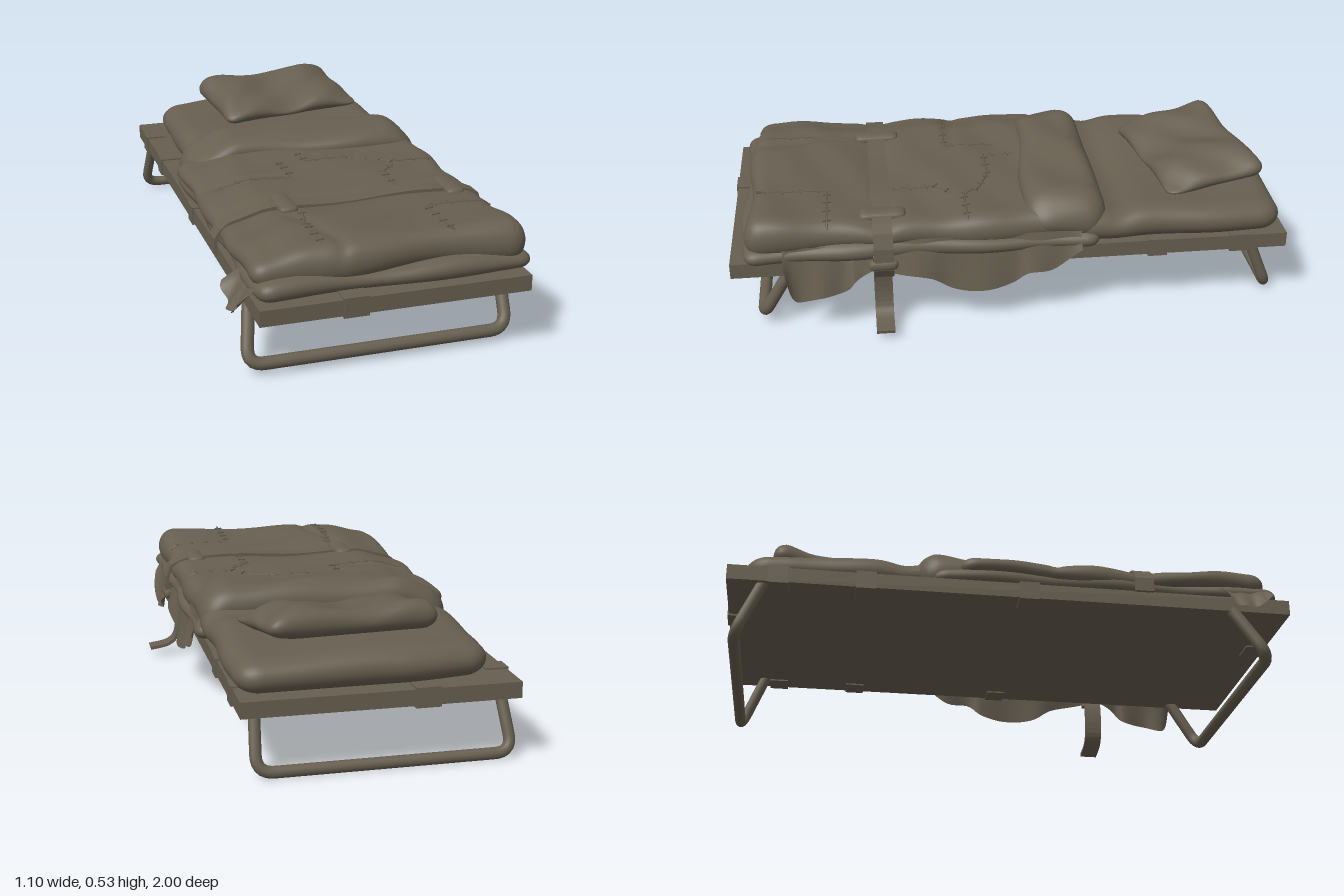
import * as THREE from 'three';
import { mergeVertices } from 'three/addons/utils/BufferGeometryUtils.js';

const canvas = new THREE.MeshStandardMaterial({ color: 0x675f50, side: THREE.DoubleSide });
canvas.name = 'drab canvas';

const V = (x, y, z) => new THREE.Vector3(x, y, z);
const smooth = THREE.MathUtils.smoothstep;
const bell = (v, c, w) => Math.exp(-(((v - c) / w) ** 2));

function add(group, name, geometry) {
  const mesh = new THREE.Mesh(geometry, canvas);
  mesh.name = name;
  group.add(mesh);
  return mesh;
}

// Stuffed slab with round edges between two corners, then bent by warp(p, up), up = 0 (bottom) to 1 (top)
function soft([x0, y0, z0], [x1, y1, z1], R, warp) {
  const w = x1 - x0, h = y1 - y0, d = z1 - z0, ry = h / 2;
  let g = new THREE.BoxGeometry(w, h, d, Math.ceil(w / 0.018), 8, Math.ceil(d / 0.018));
  g.deleteAttribute('uv');
  g.deleteAttribute('normal');
  g = mergeVertices(g);
  const pos = g.attributes.position, p = V(0, 0, 0);
  for (let i = 0; i < pos.count; i++) {
    p.fromBufferAttribute(pos, i);
    const ix = THREE.MathUtils.clamp(p.x, R - w / 2, w / 2 - R);
    const iz = THREE.MathUtils.clamp(p.z, R - d / 2, d / 2 - R);
    const q = V((p.x - ix) / R, p.y / ry, (p.z - iz) / R).normalize();
    p.set(ix + q.x * R + (x0 + x1) / 2, q.y * ry + (y0 + y1) / 2, iz + q.z * R + (z0 + z1) / 2);
    if (warp) warp(p, (q.y + 1) / 2);
    pos.setXYZ(i, p.x, p.y, p.z);
  }
  g.computeVertexNormals();
  return g;
}

// Height of the blanket's folds and of its finished upper surface
const BL = { x0: -0.495, x1: 0.445, y0: 0.3, y1: 0.41, z0: -0.2, z1: 0.93, R: 0.06 };
const folds = (x, z) => 0.02 * smooth(z, 0.5, 0.85) - 0.03 * smooth(-x, 0.3, 0.46)
  - 0.012 * bell(z, 0.46, 0.05) - 0.008 * bell(z, 0.2 + 0.1 * x, 0.02) * smooth(-x, 0.1, 0.2)
  + 0.005 * Math.sin(9 * x + 5 * z) * Math.sin(11 * z - 4 * x) + 0.003 * Math.sin(26 * z + 12 * x)
  - 0.01 * bell(x, -0.23 + 0.04 * Math.sin(9 * z), 0.02) * smooth(z, 0.52, 0.6);
function blanketTop(x, z) {
  const q = Math.max(0, BL.x0 + BL.R - x, x - BL.x1 + BL.R) / BL.R;
  return 0.355 + 0.055 * Math.sqrt(Math.max(0, 1 - q * q)) + folds(x, z);
}

// Flat band following points in the xy plane, of given width along z
function band(points, width, z, thick = 0.012) {
  const side = s => points.map((p, i) => {
    const a = points[Math.max(0, i - 1)], b = points[Math.min(points.length - 1, i + 1)];
    const t = new THREE.Vector2(b[0] - a[0], b[1] - a[1]).normalize();
    return new THREE.Vector2(p[0] - t.y * s * thick / 2, p[1] + t.x * s * thick / 2);
  });
  const shape = new THREE.Shape([...side(1), ...side(-1).reverse()]);
  return new THREE.ExtrudeGeometry(shape, { depth: width, bevelEnabled: false }).translate(0, 0, z - width / 2);
}

// Tube leg in the form of a U with round corners
function leg([xl, xr], [yTop, zTop], [xbl, xbr], [y, z], r) {
  const tl = V(xl, yTop, zTop), bl = V(xbl, y, z), br = V(xbr, y, z), tr = V(xr, yTop, zTop);
  const path = new THREE.CurvePath(), c = 0.06;
  const near = (a, b) => a.clone().add(b.clone().sub(a).setLength(c));
  const a = near(bl, tl), b = near(bl, br), d = near(br, bl), e = near(br, tr);
  path.add(new THREE.LineCurve3(tl, a));
  path.add(new THREE.QuadraticBezierCurve3(a, bl, b));
  path.add(new THREE.LineCurve3(b, d));
  path.add(new THREE.QuadraticBezierCurve3(d, br, e));
  path.add(new THREE.LineCurve3(e, tr));
  return new THREE.TubeGeometry(path, 90, r, 12);
}

// Hanging cloth: hem is a list of [z, y]; side is the x of the fall, flare the outward swing
function drape(hem, top, x, flare) {
  const curve = new THREE.CatmullRomCurve3(hem.map(([z, y]) => V(0, y, z)), false, 'centripetal');
  const g = new THREE.PlaneGeometry(1, 1, 40, 8), pos = g.attributes.position;
  for (let i = 0; i < pos.count; i++) {
    const u = pos.getX(i) + 0.5, v = 0.5 - pos.getY(i), h = curve.getPoint(u);
    pos.setXYZ(i, x + flare * v + 0.008 * v * Math.sin(u * 19), top + (h.y - top) * v, h.z);
  }
  g.computeVertexNormals();
  return g;
}

export function createModel() {
  const model = new THREE.Group();
  model.name = 'campBed';

  // Bed frame and its legs
  add(model, 'bedDeck', new THREE.BoxGeometry(0.92, 0.055, 1.99)).position.set(-0.03, 0.25, 0);
  add(model, 'frontLeg', leg([-0.47, 0.405], [0.235, 0.785], [-0.507, 0.395], [0.045, 0.895], 0.022));
  add(model, 'backLeg', leg([-0.455, 0.365], [0.235, -0.87], [-0.48, 0.375], [0.024, -0.955], 0.02));

  // Cloth ties around the deck
  for (const s of [-1, 1]) {
    add(model, 'endTie', new THREE.BoxGeometry(0.085, 0.068, 0.08)).position.set(-0.175, 0.25, s * 0.96);
    for (const z of [-0.82, -0.52, 0.05])
      add(model, 'sideTie', new THREE.BoxGeometry(0.08, 0.066, 0.07)).position.set(-0.03 + s * 0.426, 0.25, z);
  }

  // Mattress: thick at the head, flat below the blanket
  add(model, 'headMattress', soft([-0.42, 0.275, -0.975], [0.44, 0.395, -0.2], 0.08, (p, up) => {
    p.y += up * (0.008 * Math.sin(8 * p.x + 5 * p.z) - 0.02 * bell(p.z, -0.38, 0.06));
    p.z += 0.035 * smooth(-p.x, 0.1, 0.42) * smooth(-p.z, 0.6, 0.95);
    p.x += 0.02 * smooth(-p.z, 0.75, 0.95) * smooth(-p.x, 0.2, 0.4) + 0.005 * Math.sin(15 * p.z);
  }));
  add(model, 'footMattress', soft([-0.485, 0.27, -0.3], [0.46, 0.34, 0.955], 0.05, (p, up) => {
    p.y += up * 0.008 * Math.sin(12 * p.x + 6 * p.z);
    p.x += 0.008 * Math.sin(14 * p.z);
    p.z += 0.01 * Math.sin(10 * p.x);
  }));

  // Blanket with folds
  add(model, 'blanket', soft([BL.x0, BL.y0, BL.z0], [BL.x1, BL.y1, BL.z1], BL.R, (p, up) => {
    p.y += folds(p.x, p.z) * up + 0.012 * (1 - up) * Math.sin(9 * p.x + 8 * p.z);
    p.x += 0.006 * Math.sin(17 * p.z) * smooth(Math.abs(p.x), 0.35, 0.45);
    p.z -= 0.012 * Math.sin(11 * p.x) * smooth(p.z, 0.8, 0.9);
  }));

  // Turned-down part of the blanket, drooping at both ends
  add(model, 'blanketFold', soft([-0.465, 0.355, -0.335], [0.445, 0.455, -0.07], 0.075, (p, up) => {
    const back = smooth(-p.z, 0.08, 0.3);
    p.y += 0.012 * back - 0.065 * smooth(-p.x, 0.26, 0.46) - 0.035 * smooth(p.x, 0.33, 0.45);
    p.y -= (1 - up) * 0.05 * back;
    p.y += up * 0.006 * Math.sin(14 * p.x + 20 * p.z);
    p.z += (0.055 * p.x + 0.012 * Math.sin(9 * p.x)) * (1 - back);
  }));

  // Cloth hanging over the sides
  add(model, 'sideDrape', drape([[0.43, 0.23], [0.3, 0.2], [0.22, 0.15], [0.1, 0.14], [0, 0.16],
    [-0.05, 0.2], [-0.14, 0.205], [-0.24, 0.28]], 0.345, 0.44, 0.03));
  add(model, 'footDrape', drape([[0.81, 0.27], [0.77, 0.135], [0.69, 0.15], [0.6, 0.165], [0.56, 0.21], [0.46, 0.26]],
    0.335, 0.44, 0.035));
  add(model, 'cornerFlap', drape([[0.92, 0.27], [0.87, 0.225], [0.8, 0.22], [0.73, 0.28]], 0.32, -0.475, -0.07));

  // Pillow
  const pillow = add(model, 'pillow', soft([-0.285, -0.045, -0.18], [0.285, 0.045, 0.18], 0.05, (p, up) => {
    const u = p.x / 0.285, v = p.z / 0.18;
    p.x *= 1 + 0.05 * v * v;
    p.z *= 1 + 0.06 * u * u;
    p.y *= 1 - 0.4 * smooth(v, 0.3, 1) - 0.2 * smooth(u, 0.6, 1);
    p.y += up * (0.012 * Math.sin(7 * u * 0.8 - 1.2) + 0.005 * Math.sin(25 * p.x + 30 * p.z));
  }));
  pillow.position.set(0.055, 0.452, -0.705);
  pillow.rotation.set(0.15, 0.14, 0);

  // Strap across the blanket, with sliders and a loose tail
  const over = [[-0.505, 0.27], [-0.505, 0.32]];
  for (let x = -0.485; x < 0.44; x += 0.03) over.push([x, blanketTop(x, 0.46) + 0.008]);
  over.push([0.452, 0.38], [0.47, 0.33], [0.475, 0.25], [0.455, 0.215]);
  add(model, 'strap', band(over, 0.068, 0.46));
  const tail = new THREE.CatmullRomCurve3([V(0.47, 0.3, 0), V(0.432, 0.2, 0), V(0.44, 0.08, 0), V(0.47, 0.052, 0), V(0.545, 0.036, 0)]);
  add(model, 'strapTail', band(tail.getPoints(24).map(p => [p.x, p.y]), 0.065, 0.465));
  add(model, 'strapKnot', soft([0.45, 0.245, 0.41], [0.485, 0.285, 0.515], 0.015));
  for (const x of [-0.255, 0.355]) {
    const y = blanketTop(x, 0.46);
    add(model, 'strapSlider', soft([x - 0.033, y - 0.012, 0.375], [x + 0.033, y + 0.026, 0.54], 0.02));
  }

  // Patch seams with cross stitches laid on the blanket
  const seams = [
    [[-0.15, 0.01], [-0.15, 0.2], [-0.44, 0.2]],
    [[-0.06, -0.06], [-0.05, 0.06], [0.1, 0.06], [0.2, 0.1], [0.25, 0.16], [0.42, 0.16]],
    [[0.24, 0.2], [0.18, 0.26], [0.18, 0.41]],
    [[0.43, 0.65], [0.19, 0.65], [0.19, 0.9]],
    [[-0.22, 0.55], [-0.25, 0.7], [-0.25, 0.88]],
  ];
  for (const seam of seams) {
    for (let i = 1; i < seam.length; i++) {
      const [ax, az] = seam[i - 1], [bx, bz] = seam[i], pts = [];
      const length = Math.hypot(bx - ax, bz - az), n = Math.max(2, Math.round(length / 0.03));
      for (let k = 0; k <= n; k++) {
        const x = ax + (bx - ax) * k / n, z = az + (bz - az) * k / n;
        pts.push(V(x, blanketTop(x, z), z));
        if (k % 2 === 0) continue;
        const stitch = add(model, 'stitch', new THREE.BoxGeometry(0.005, 0.006, 0.03));
        stitch.position.set(x, blanketTop(x, z) + 0.002, z);
        stitch.rotation.y = Math.atan2(bx - ax, bz - az) + Math.PI / 2 + 0.2;
      }
      add(model, 'seam', new THREE.TubeGeometry(new THREE.CatmullRomCurve3(pts), n * 3, 0.004, 5));
    }
  }
  return model;
}
